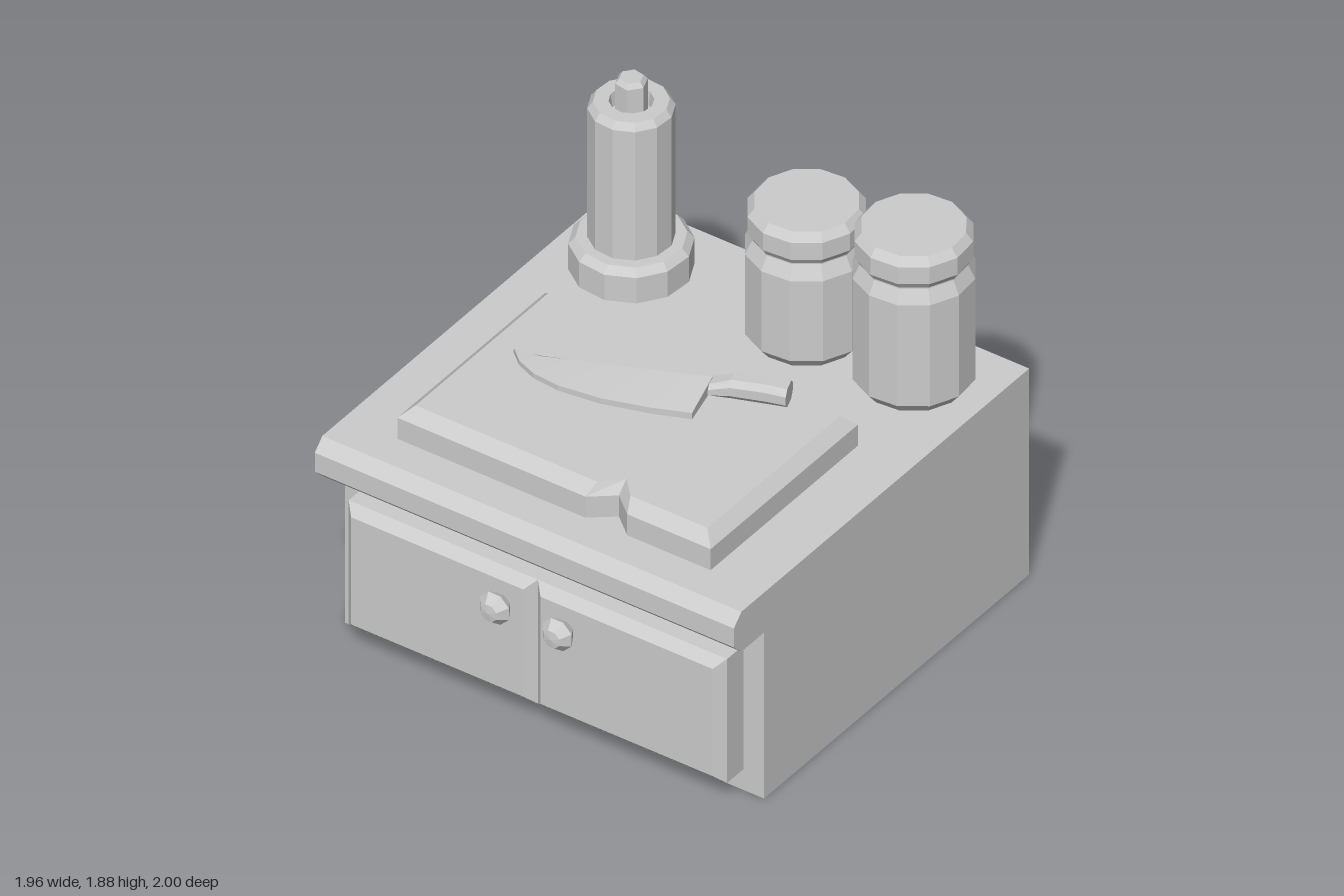
import * as THREE from 'three';

const material = new THREE.MeshStandardMaterial({ color: 0xcccccc, flatShading: true });
const rad = THREE.MathUtils.degToRad;

function add(parent, name, geometry, x = 0, y = 0, z = 0) {
  const mesh = new THREE.Mesh(geometry, material);
  mesh.name = name;
  mesh.position.set(x, y, z);
  parent.add(mesh);
  return mesh;
}

// Skin a list of equal-length rings (counter-clockwise seen from the last ring), with fan caps
function loft(rings) {
  const n = rings[0].length, pos = [];
  const tri = (a, b, c) => pos.push(...a, ...b, ...c);
  for (let i = 0; i < rings.length - 1; i++) {
    for (let j = 0; j < n; j++) {
      const k = (j + 1) % n, r = rings[i], s = rings[i + 1];
      tri(r[j], r[k], s[k]);
      tri(r[j], s[k], s[j]);
    }
  }
  const first = rings[0], last = rings[rings.length - 1];
  for (let j = 1; j < n - 1; j++) {
    tri(first[0], first[j + 1], first[j]);
    tri(last[0], last[j], last[j + 1]);
  }
  const g = new THREE.BufferGeometry();
  g.setAttribute('position', new THREE.Float32BufferAttribute(pos, 3));
  g.computeVertexNormals();
  return g;
}

// Turned part from [radius, height] pairs, bottom to top
const turned = (profile, sides, start = 0) =>
  new THREE.LatheGeometry(profile.map(([r, y]) => new THREE.Vector2(r, y)), sides, rad(start));

// Cabinet body and overhanging counter, one side profile extruded across the width
function cabinet() {
  const shape = new THREE.Shape([
    [-1, 0], [0.76, 0], [0.76, 0.79], [0.91, 0.79], [0.96, 0.84],
    [0.96, 0.93], [0.91, 0.98], [-1, 0.98],
  ].map(([z, y]) => new THREE.Vector2(-z, y)));
  const g = new THREE.ExtrudeGeometry(shape, { depth: 1.96, bevelEnabled: false });
  return g.translate(0, 0, -0.98).rotateY(Math.PI / 2);
}

// Door panel with chamfered front edges
function door(x0, x1) {
  const ring = (d, z) => [
    [x0 + d, 0.1 + d, z], [x1 - d, 0.1 + d, z], [x1 - d, 0.69 - d, z], [x0 + d, 0.69 - d, z],
  ];
  return loft([ring(0, 0.76), ring(0, 0.87), ring(0.04, 0.91)]);
}

// Cutting board with a notch in its front edge
function board() {
  const ring = (d, y) => [
    [0.245, 0.68 - d], [0.34 - d * 0.4, 0.76 - d], [0.73 - d, 0.76 - d], [0.73 - d, -0.22 + d],
    [-0.735 + d, -0.22 + d], [-0.735 + d, 0.76 - d], [0.145 + d * 0.4, 0.76 - d],
  ].map(([x, z]) => [x, y, z]);
  return loft([ring(0, 0.98), ring(0, 1.08), ring(0.05, 1.13)]);
}

// Knife blade: stations of spine x, spine z, edge x, edge z
function blade() {
  const stations = [
    [-0.565, 0.23, -0.56, 0.235], [-0.46, 0.19, -0.5, 0.285], [-0.35, 0.15, -0.41, 0.32],
    [-0.22, 0.1, -0.29, 0.33], [-0.05, 0.036, -0.11, 0.305], [0.1, -0.02, 0.08, 0.245],
    [0.18, -0.05, 0.235, 0.18],
  ];
  return loft(stations.map(([sx, sz, ex, ez], i) => {
    const t = i / (stations.length - 1);
    return [
      [sx, 1.15 - 0.015 * t, sz],
      [sx + 0.01, 1.162 + 0.036 * t, sz + 0.03 * Math.min(1, i)],
      [ex, 1.165, ez],
      [ex, 1.145 - 0.01 * t, ez],
    ];
  }));
}

// Knife handle: eight-sided sections of x, z, half width, bottom, top
function handle() {
  const sections = [
    [0.19, -0.008, 0.047, 1.135, 1.19], [0.27, -0.04, 0.045, 1.135, 1.222],
    [0.4, -0.085, 0.045, 1.137, 1.228], [0.485, -0.11, 0.053, 1.145, 1.23],
  ];
  const outline = [
    [-1, -0.45], [-1, 0.45], [-0.55, 1], [0.55, 1], [1, 0.45], [1, -0.45], [0.55, -1], [-0.55, -1],
  ];
  return loft(sections.map(([x, z, w, y0, y1]) => outline.map(([u, v]) =>
    [x + u * w * 0.35, (y0 + y1) / 2 + v * (y1 - y0) / 2, z + u * w * 0.94])));
}

// Storage jar with a chamfered lid; h is its full height
function jar(h, r) {
  return turned([
    [0, 0], [r - 0.04, 0], [r, 0.05], [r, h - 0.21], [0.215, h - 0.15],
    [0.215, h - 0.145], [0.235, h - 0.115], [0.235, h - 0.035], [0.207, h], [0, h],
  ], 12, 20);
}

export function createModel() {
  const model = new THREE.Group();
  model.name = 'kitchenCounter';

  add(model, 'cabinet', cabinet());
  add(model, 'rightDoor', door(-0.885, 0));
  add(model, 'leftDoor', door(0, 0.885));

  // Door knobs, facing forward
  for (const side of [-1, 1]) {
    const knob = turned([[0, 0], [0.045, 0], [0.073, 0.045], [0.04, 0.085], [0, 0.09]], 8, 22.5);
    add(model, side < 0 ? 'rightKnob' : 'leftKnob', knob.rotateX(Math.PI / 2), side * 0.147, 0.54, 0.905);
  }

  add(model, 'cuttingBoard', board());
  const knife = new THREE.Group();
  knife.name = 'knife';
  add(knife, 'knifeBlade', blade());
  add(knife, 'knifeHandle', handle());
  model.add(knife);

  add(model, 'tallJar', jar(0.74, 0.243), 0.663, 0.98, -0.685);
  add(model, 'shortJar', jar(0.64, 0.245), 0.16, 0.98, -0.687);

  // Bottle on a round base, with a recessed top and a six-sided stem
  const bottle = new THREE.Group();
  bottle.name = 'bottle';
  bottle.position.set(-0.643, 0.98, -0.663);
  add(bottle, 'bottleBase', turned([[0, 0], [0.243, 0], [0.243, 0.12], [0.215, 0.15], [0, 0.15]], 12, 10));
  add(bottle, 'bottleBody', turned([
    [0, 0.14], [0.17, 0.14], [0.17, 0.76], [0.148, 0.79], [0.088, 0.79], [0.08, 0.73], [0, 0.73],
  ], 12, 10));
  add(bottle, 'bottleStem', turned([[0, 0.72], [0.065, 0.72], [0.065, 0.88], [0.048, 0.9], [0, 0.9]], 6, 20));
  model.add(bottle);

  return model;
}
